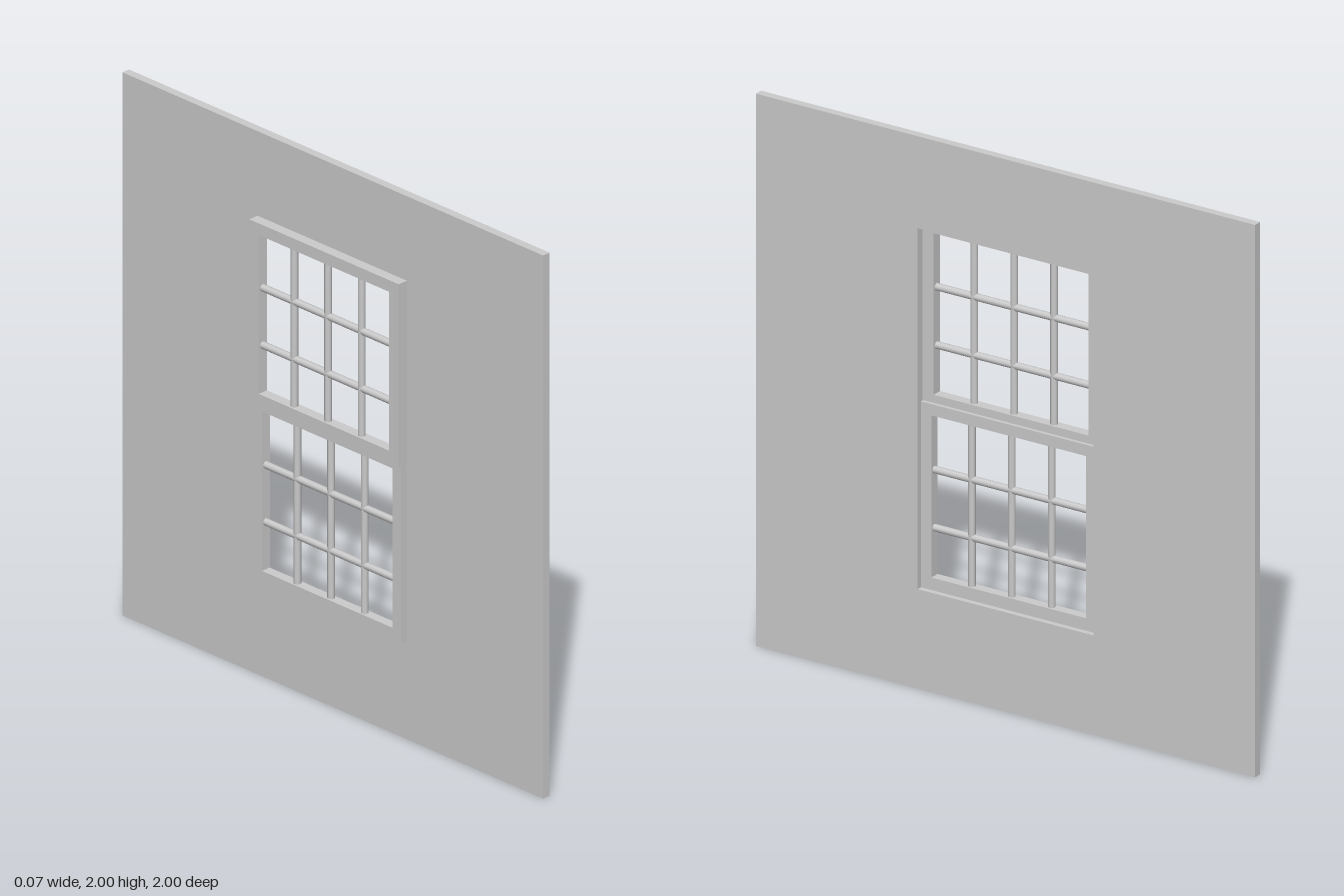
import * as THREE from 'three';

const material = new THREE.MeshStandardMaterial({ color: 0xcccccc });

// Rectangle path in the wall plane: u runs along -z, v runs up
function rect(PathType, u, v0, v1) {
  const p = new PathType();
  p.moveTo(-u, v0);
  p.lineTo(u, v0);
  p.lineTo(u, v1);
  p.lineTo(-u, v1);
  p.closePath();
  return p;
}

// Flat panel with a rectangular opening, filling x0..x1
function framePanel(name, outer, inner, x0, x1) {
  const shape = rect(THREE.Shape, ...outer);
  shape.holes.push(rect(THREE.Path, ...inner));
  const geo = new THREE.ExtrudeGeometry(shape, { depth: x1 - x0, bevelEnabled: false });
  geo.rotateY(Math.PI / 2);
  geo.translate(x0, 0, 0);
  const mesh = new THREE.Mesh(geo, material);
  mesh.name = name;
  return mesh;
}

// Slim rounded glazing bar
function glazingBar(name, length, x, y, z, horizontal) {
  const geo = new THREE.CylinderGeometry(0.013, 0.013, length, 10);
  if (horizontal) geo.rotateX(Math.PI / 2);
  const mesh = new THREE.Mesh(geo, material);
  mesh.name = name;
  mesh.position.set(x, y, z);
  return mesh;
}

// Sash: a frame with three upright and two level glazing bars
function sash(name, outer, inner, x0, x1, levels) {
  const group = new THREE.Group();
  group.name = name;
  group.add(framePanel(name + 'Frame', outer, inner, x0, x1));
  const [u, v0, v1] = inner;
  const x = (x0 + x1) / 2;
  for (const z of [-0.16, 0, 0.16]) {
    group.add(glazingBar('verticalBar', v1 - v0 + 0.01, x, (v0 + v1) / 2, z, false));
  }
  for (const y of levels) {
    group.add(glazingBar('horizontalBar', 2 * u + 0.01, x, y, 0, true));
  }
  return group;
}

export function createModel() {
  const model = new THREE.Group();
  model.name = 'wallWithSashWindow';

  // Wall with the window opening
  model.add(framePanel('wall', [1, 0, 2], [0.352, 0.36, 1.667], 0.005, 0.036));

  // Lower sash sits inside the opening, upper sash behind it
  model.add(sash('lowerSash', [0.352, 0.36, 1.033], [0.31, 0.405, 0.992], -0.021, 0.016, [0.58, 0.79]));
  model.add(sash('upperSash', [0.355, 1.013, 1.69], [0.31, 1.062, 1.647], -0.036, 0.003, [1.236, 1.447]));
  return model;
}
